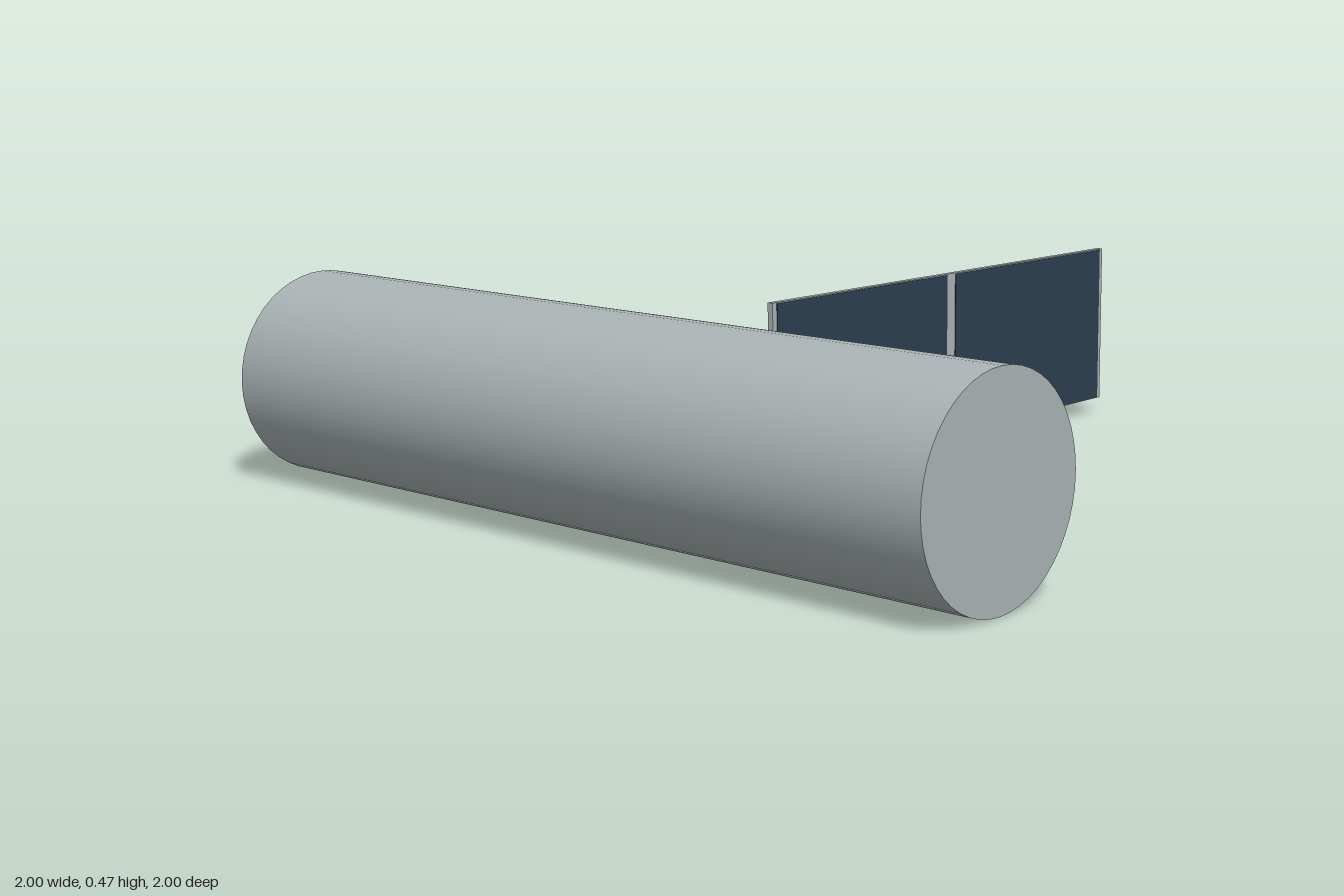
import * as THREE from 'three';

export function createModel() {
  const model = new THREE.Group();
  const mat = (name, color) => new THREE.MeshStandardMaterial({ name, color });
  const hull = mat('pale grey', 0xaab3b5);
  const steel = mat('dark grey', 0x888a8c);
  const navy = mat('navy', 0x2c3e50);
  const midY = 0.237;

  const add = (name, geometry, material, x, y, z) => {
    const mesh = new THREE.Mesh(geometry, material);
    mesh.name = name;
    mesh.position.set(x, y, z);
    model.add(mesh);
    return mesh;
  };

  // Long cylindrical body lying along z
  add('body', new THREE.CylinderGeometry(0.237, 0.237, 2, 48).rotateX(Math.PI / 2), hull, -0.763, midY, 0);

  // Thin arm joining the body to the panel
  add('arm', new THREE.CylinderGeometry(0.013, 0.013, 0.235, 16).rotateZ(Math.PI / 2), steel, -0.4115, midY, 0);

  // Flat panel backing
  add('panel', new THREE.BoxGeometry(1.294, 0.4, 0.015), hull, 0.353, 0.24, 0);

  // Two dark cell plates on the front of the panel
  for (const side of [-1, 1]) {
    add('cellPlate', new THREE.BoxGeometry(0.617, 0.396, 0.003), navy, 0.353 + side * 0.325, 0.24, 0.008);
  }
  return model;
}
